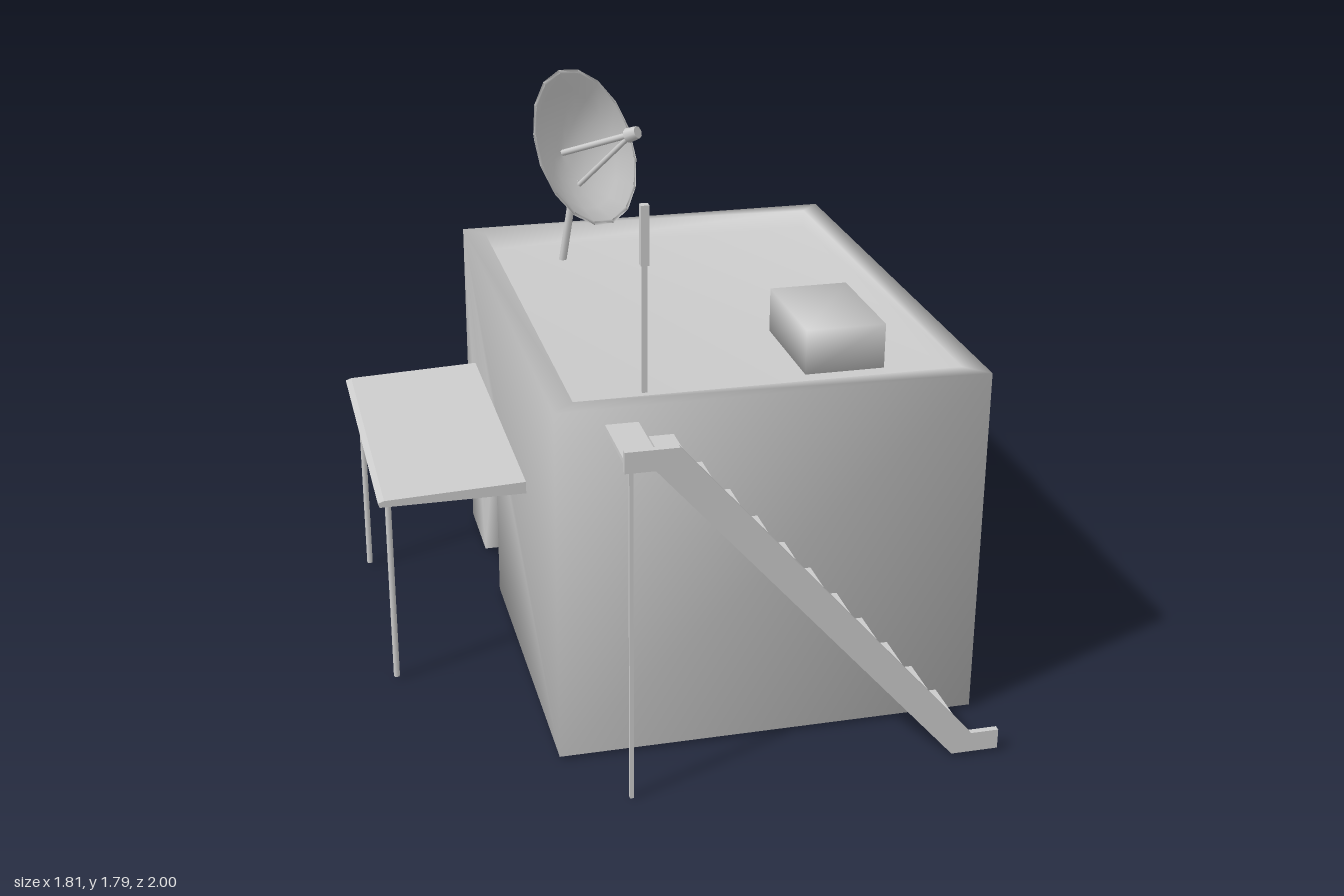
import * as THREE from 'three';
import { mergeVertices } from 'three/addons/utils/BufferGeometryUtils.js';

const V = (x, y, z) => new THREE.Vector3(x, y, z);
const material = new THREE.MeshStandardMaterial({ color: 0xcccccc });

// Welds shared corners so that shading flows across the edges.
function weld(geometry) {
  const bare = new THREE.BufferGeometry();
  bare.setAttribute('position', geometry.attributes.position.clone());
  if (geometry.index) bare.setIndex(geometry.index.clone());
  const welded = mergeVertices(bare, 1e-4);
  welded.computeVertexNormals();
  return welded;
}

function add(parent, name, geometry) {
  const mesh = new THREE.Mesh(geometry, material);
  mesh.name = name;
  parent.add(mesh);
  return mesh;
}

// Box given by its lower and upper limits on each axis.
function box(x0, x1, y0, y1, z0, z1) {
  return new THREE.BoxGeometry(x1 - x0, y1 - y0, z1 - z0)
    .translate((x0 + x1) / 2, (y0 + y1) / 2, (z0 + z1) / 2);
}

// Round rod between two points.
function rod(a, b, r0, r1 = r0, sides = 8) {
  const dir = b.clone().sub(a);
  const geometry = new THREE.CylinderGeometry(r1, r0, dir.length(), sides);
  geometry.applyQuaternion(new THREE.Quaternion().setFromUnitVectors(V(0, 1, 0), dir.normalize()));
  return geometry.translate((a.x + b.x) / 2, (a.y + b.y) / 2, (a.z + b.z) / 2);
}

const rect = (a0, a1, b0, b1) => [[a0, b0], [a1, b0], [a1, b1], [a0, b1]];

// House shell: walls with recessed openings, parapet, sunken roof and base.
function houseGeometry() {
  const X0 = -0.44, X1 = 0.9, Z0 = -1, Z1 = 0.74, Y0 = 0.01, Y1 = 1.16;
  const roofY = 1.095, rim = 0.07, recess = 0.07;
  const positions = [];

  // Flat polygon with holes, mapped into space and turned to face the normal.
  function panel(contour, holes, map, normal) {
    const to2 = list => list.map(p => new THREE.Vector2(p[0], p[1]));
    const points = [contour, ...holes].flat().map(p => map(p[0], p[1]));
    for (const f of THREE.ShapeUtils.triangulateShape(to2(contour), holes.map(to2))) {
      let [a, b, c] = f.map(i => points[i]);
      const n = b.clone().sub(a).cross(c.clone().sub(a));
      if (n.dot(normal) < 0) [b, c] = [c, b];
      for (const p of [a, b, c]) positions.push(p.x, p.y, p.z);
    }
  }
  const atX = x => (z, y) => V(x, y, z);
  const atY = y => (x, z) => V(x, y, z);
  const atZ = z => (x, y) => V(x, y, z);

  // Side wall with a door notch and optional windows.
  function sideWall(s, door, windows) {
    const x = s > 0 ? X1 : X0, xi = x - s * recess;
    const contour = [[Z0, Y0], [door[0], Y0], [door[0], door[3]], [door[1], door[3]],
      [door[1], Y0], [Z1, Y0], [Z1, Y1], [Z0, Y1]];
    panel(contour, windows.map(w => rect(...w).reverse()), atX(x), V(s, 0, 0));
    for (const o of [door, ...windows]) {
      const [z0, z1, y0, y1] = o;
      panel(rect(z0, z1, y0, y1), [], atX(xi), V(s, 0, 0));
      panel(rect(x, xi, y0, y1), [], atZ(z0), V(0, 0, 1));
      panel(rect(x, xi, y0, y1), [], atZ(z1), V(0, 0, -1));
      panel(rect(x, xi, z0, z1), [], atY(y1), V(0, -1, 0));
      if (o !== door) panel(rect(x, xi, z0, z1), [], atY(y0), V(0, 1, 0));
    }
  }
  const rightDoor = [0.16, 0.48, Y0, 0.68], leftDoor = [-0.7, -0.38, Y0, 0.68];
  sideWall(1, rightDoor, [[-0.72, -0.41, 0.33, 0.68]]);
  sideWall(-1, leftDoor, []);

  // Front and back walls
  panel(rect(X0, X1, Y0, Y1), [], atZ(Z1), V(0, 0, 1));
  panel(rect(X0, X1, Y0, Y1), [], atZ(Z0), V(0, 0, -1));

  // Parapet top, its inner faces and the roof
  const x0 = X0 + rim, x1 = X1 - rim, z0 = Z0 + rim, z1 = Z1 - rim;
  panel(rect(X0, X1, Z0, Z1), [rect(x0, x1, z0, z1).reverse()], atY(Y1), V(0, 1, 0));
  panel(rect(x0, x1, z0, z1), [], atY(roofY), V(0, 1, 0));
  panel(rect(z0, z1, roofY, Y1), [], atX(x0), V(1, 0, 0));
  panel(rect(z0, z1, roofY, Y1), [], atX(x1), V(-1, 0, 0));
  panel(rect(x0, x1, roofY, Y1), [], atZ(z0), V(0, 0, 1));
  panel(rect(x0, x1, roofY, Y1), [], atZ(z1), V(0, 0, -1));

  // Base, notched at both doors
  const [ra, rb] = rightDoor, [la, lb] = leftDoor;
  panel([[X0, Z0], [X1, Z0], [X1, ra], [X1 - recess, ra], [X1 - recess, rb], [X1, rb], [X1, Z1],
    [X0, Z1], [X0, lb], [X0 + recess, lb], [X0 + recess, la], [X0, la]], [], atY(Y0), V(0, -1, 0));

  const geometry = new THREE.BufferGeometry();
  geometry.setAttribute('position', new THREE.Float32BufferAttribute(positions, 3));
  return weld(geometry);
}

function createStairs() {
  const stairs = new THREE.Group();
  stairs.name = 'stairs';
  // Stringer with a level piece at each end
  const outline = new THREE.Shape([[-0.29, 1.07], [-0.2, 1.07], [0.74, 0.01], [0.89, 0.01],
    [0.89, 0.075], [0.8, 0.075], [-0.13, 1.135], [-0.29, 1.135]].map(p => new THREE.Vector2(...p)));
  add(stairs, 'stringer', new THREE.ExtrudeGeometry(outline, { depth: 0.02, bevelEnabled: false })
    .translate(0, 0, 0.978));
  add(stairs, 'stairPost', box(-0.276, -0.264, 0, 1.08, 0.982, 0.994));
  // Landing and eleven treads between wall and stringer
  add(stairs, 'landing', box(-0.29, -0.19, 1.095, 1.11, 0.74, 0.98));
  for (let i = 0; i < 11; i++) {
    const x = -0.16 + 0.0867 * i;
    const y = 0.916 - 1.13 * (x + 0.037);
    add(stairs, 'tread', box(x, x + 0.075, y - 0.006, y + 0.006, 0.74, 0.98));
  }
  return stairs;
}

function createAwning() {
  const awning = new THREE.Group();
  awning.name = 'awning';
  const section = new THREE.Shape([[-0.905, 0.675], [-0.44, 0.675], [-0.44, 0.715], [-0.89, 0.697], [-0.91, 0.69]]
    .map(p => new THREE.Vector2(...p)));
  add(awning, 'awningRoof', new THREE.ExtrudeGeometry(section, { depth: 1.04, bevelEnabled: false })
    .translate(0, 0, -0.8));
  for (const z of [-0.69, 0.14]) add(awning, 'awningLeg', rod(V(-0.87, 0.01, z), V(-0.87, 0.68, z), 0.01));
  return awning;
}

function createDish() {
  const dish = new THREE.Group();
  dish.name = 'satelliteDish';
  const aim = V(0.649, 0.396, 0.649).normalize();
  const R = 0.28, depth = 0.125, t = 0.014, profile = [];
  // Bowl: outer curve out to the rim, then inner curve back to the middle
  for (let i = 0; i <= 5; i++) profile.push(new THREE.Vector2(R * i / 5, depth * (i / 5) ** 2));
  for (let i = 5; i >= 0; i--) profile.push(new THREE.Vector2((R - t) * i / 5, t + (depth - t) * (i / 5) ** 2));
  const bowl = add(dish, 'dishBowl', new THREE.LatheGeometry(profile, 16));
  bowl.quaternion.setFromUnitVectors(V(0, 1, 0), aim);
  bowl.position.set(-0.043, 1.528, -0.69).addScaledVector(aim, -depth);
  // Feed horn on two arms
  const tip = V(0.09, 1.6, -0.56);
  add(dish, 'feedArm', rod(V(-0.117, 1.487, -0.772), tip, 0.011));
  add(dish, 'feedArm', rod(V(-0.075, 1.37, -0.73), tip, 0.009));
  add(dish, 'feedHorn', rod(tip.clone().addScaledVector(aim, -0.02), tip.clone().addScaledVector(aim, 0.025), 0.026, 0.022));
  // Mast on the roof
  add(dish, 'dishMast', rod(V(-0.117, 1.09, -0.775), V(-0.075, 1.4, -0.74), 0.014));
  return dish;
}

export function createModel() {
  const model = new THREE.Group();
  model.name = 'house';
  add(model, 'houseShell', houseGeometry());
  add(model, 'roofHatch', weld(box(0.4, 0.655, 1.09, 1.24, 0.08, 0.47)));

  // Antenna: slim pole with a thicker head
  const antenna = new THREE.Group();
  antenna.name = 'antenna';
  add(antenna, 'antennaPole', box(-0.123, -0.107, 1.09, 1.5, 0.482, 0.498));
  add(antenna, 'antennaHead', box(-0.128, -0.102, 1.5, 1.685, 0.477, 0.503));

  model.add(antenna, createDish(), createStairs(), createAwning());
  return model;
}
